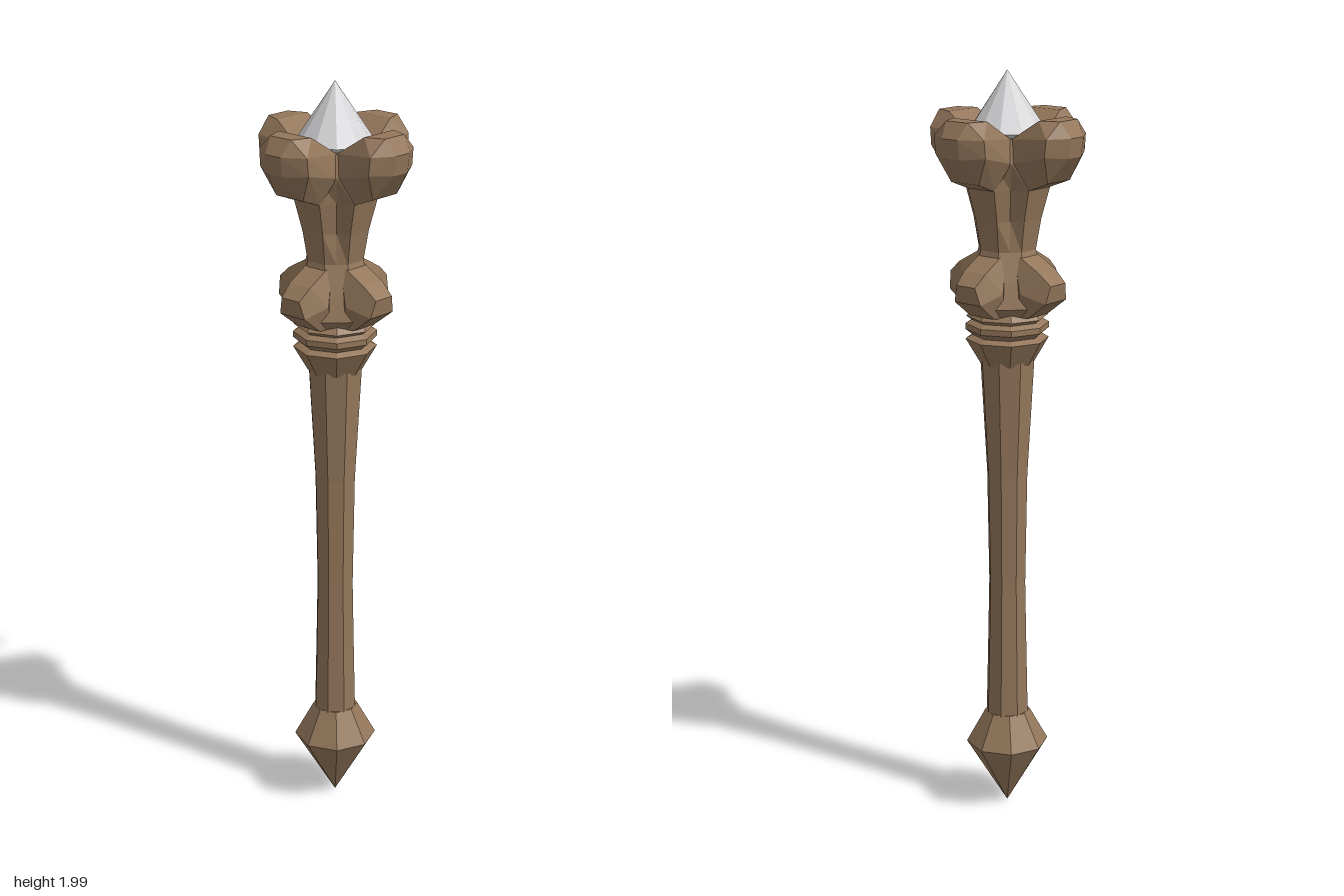
import * as THREE from 'three';
import { ConvexGeometry } from 'three/addons/geometries/ConvexGeometry.js';

export function createModel() {
  const group = new THREE.Group();
  const wood = new THREE.MeshStandardMaterial({ color: 0x94775b });
  wood.name = 'brown wood';
  const crystalGrey = new THREE.MeshStandardMaterial({ color: 0xd6d6d8 });
  crystalGrey.name = 'pale crystal';

  const add = (name, geometry, material = wood) => {
    const flat = geometry.index ? geometry.toNonIndexed() : geometry;
    flat.computeVertexNormals();
    const mesh = new THREE.Mesh(flat, material);
    mesh.name = name;
    group.add(mesh);
    return mesh;
  };
  // faceted turned solid from [radius, height] pairs, bottom to top
  const turned = (profile, sides, phase = 0) =>
    new THREE.LatheGeometry(profile.map(([r, y]) => new THREE.Vector2(r, y)), sides, phase);

  // pointed pommel and tapering octagonal shaft
  add('pommel', turned([[0, 0.01], [0.11, 0.19], [0.06, 0.28], [0, 0.28]], 8));
  add('shaft', turned([[0.058, 0.27], [0.054, 0.45], [0.05, 0.65], [0.055, 0.95],
    [0.073, 1.26]], 8, Math.PI / 8));

  // stacked collar rings
  add('collar', turned([[0.07, 1.25], [0.108, 1.315], [0.09, 1.325], [0.108, 1.34], [0.108, 1.355],
    [0.092, 1.365], [0.106, 1.375], [0.085, 1.4]], 8));

  // flared neck, an octagon with a groove down each of the four sides
  const neck = turned([[0.08, 1.37], [0.115, 1.41], [0.1, 1.47], [0.076, 1.55], [0.09, 1.63],
    [0.112, 1.71], [0.122, 1.78], [0.108, 1.84], [0, 1.84]], 16);
  const p = neck.attributes.position;
  for (let i = 0; i < p.count; i++) {
    const y = p.getY(i);
    const step = Math.round(Math.atan2(p.getX(i), p.getZ(i)) / (Math.PI / 8) + 16) % 4;
    const groove = y > 1.6 && y < 1.75 ? 0.76 : 0.92;
    const s = step === 0 ? groove : step === 2 ? 0.924 : 1;
    p.setX(i, p.getX(i) * s);
    p.setZ(i, p.getZ(i) * s);
  }
  add('neck', neck);

  // knobs on the four diagonals, from [outward, half width, height] corners
  const knobs = (name, corners) => {
    const points = corners.flatMap(([d, w, y]) => [1, -1].map((s) => new THREE.Vector3(s * w, y, d)));
    for (let k = 0; k < 4; k++) {
      const mesh = add(name + (k + 1), new ConvexGeometry(points));
      mesh.rotation.y = Math.PI / 4 + k * Math.PI / 2;
    }
  };
  knobs('lowerKnob', [[0.165, 0.03, 1.475], [0.158, 0.042, 1.43], [0.13, 0.035, 1.505],
    [0.1, 0.04, 1.385], [0.06, 0.045, 1.385], [0.05, 0.035, 1.55], [0.09, 0.06, 1.45]]);
  knobs('headKnob', [[0.145, 0.055, 1.89], [0.195, 0.035, 1.89], [0.187, 0.08, 1.85],
    [0.183, 0.081, 1.805], [0.222, 0.025, 1.85], [0.215, 0.025, 1.8], [0.165, 0.045, 1.735],
    [0.1, 0.042, 1.71], [0.078, 0.076, 1.78], [0.07, 0.068, 1.84], [0.108, 0.03, 1.865]]);

  // faceted crystal held between the knobs
  add('crystal', turned([[0, 1.76], [0.1, 1.85], [0, 2.0]], 11), crystalGrey);

  return group;
}
